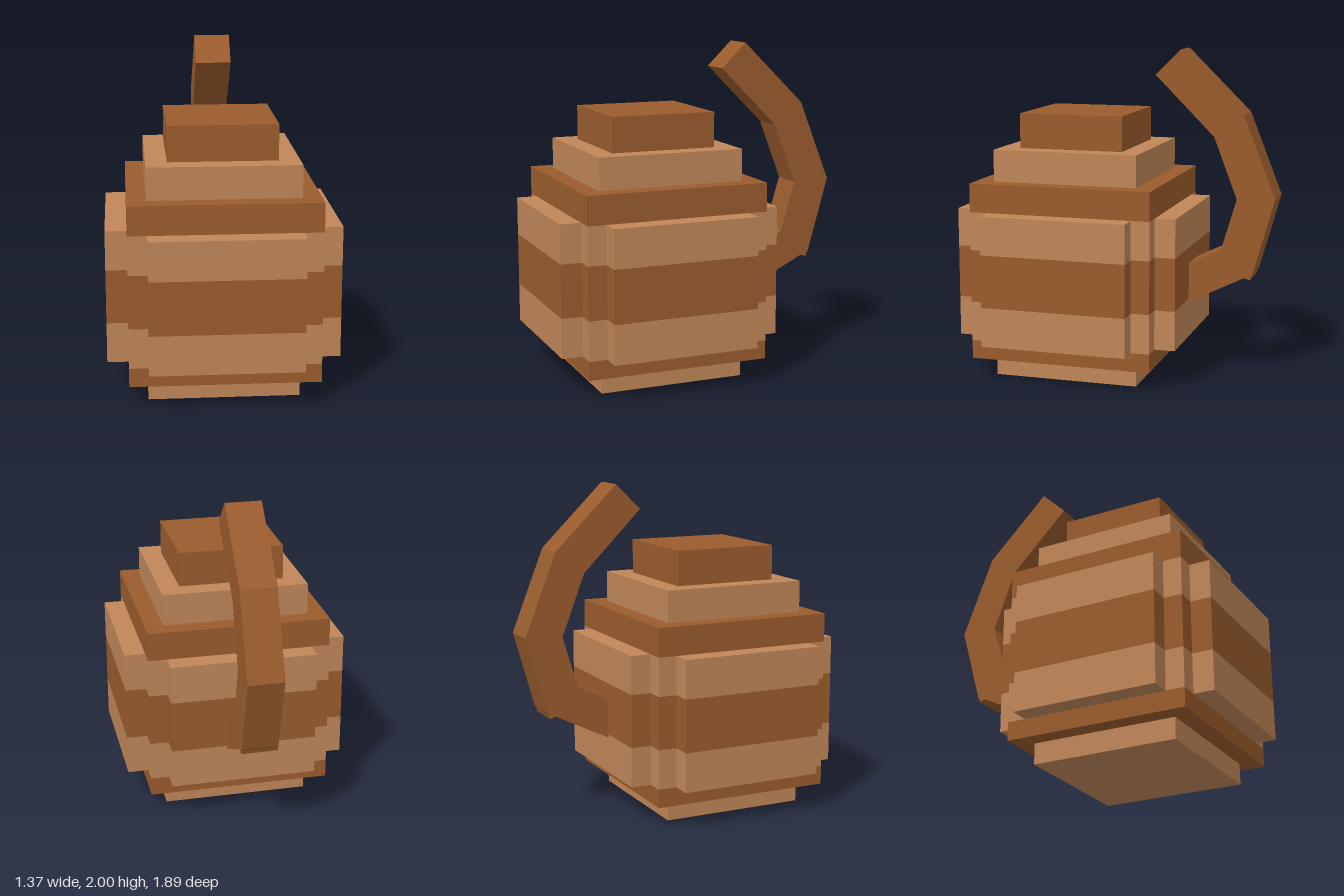
import * as THREE from 'three';

export function createModel() {
  const dark = new THREE.MeshStandardMaterial({ color: 0x9a5c2d });
  dark.name = 'dark brown';
  const light = new THREE.MeshStandardMaterial({ color: 0xc08658 });
  light.name = 'light brown';

  const model = new THREE.Group();
  const body = new THREE.Group();
  body.name = 'body';
  body.position.z = 0.264;
  model.add(body);

  // box given by half widths, bottom, top and centre
  function box(name, material, hx, hz, y0, y1, x = 0, z = 0) {
    const mesh = new THREE.Mesh(new THREE.BoxGeometry(hx * 2, y1 - y0, hz * 2), material);
    mesh.name = name;
    mesh.position.set(x, (y0 + y1) / 2, z);
    body.add(mesh);
  }

  // stepped tiers below and above the belly
  box('base', light, 0.447, 0.447, 0, 0.127);
  box('lowerCore', dark, 0.56, 0.56, 0.127, 0.24);
  box('upperCore', dark, 0.56, 0.56, 1.033, 1.207);
  box('shoulder', light, 0.447, 0.447, 1.207, 1.4);
  box('cap', dark, 0.322, 0.322, 1.4, 1.612);

  // striped belly: core corners plus a raised slab on each of the four sides
  const bands = [[light, 0.24, 0.48], [dark, 0.48, 0.8], [light, 0.8, 1.033]];
  for (const [material, y0, y1] of bands) {
    box('bellyCore', material, 0.56, 0.56, y0, y1);
    for (const side of [-1, 1]) {
      box('sideSlab', material, 0.0625, 0.447, y0, y1, side * 0.6225, 0);
      box('endSlab', material, 0.447, 0.0625, y0, y1, 0, side * 0.6225);
    }
  }

  // curved square tail: side outline as (z, y), extruded across x
  const outline = [
    [-0.38, 0.48], [-0.765, 0.632], [-0.8, 0.62], [-0.808, 0.645], [-0.815, 0.655],
    [-0.945, 1.12], [-0.75, 1.615], [-0.742, 1.625], [-0.36, 2],
    [-0.205, 1.847], [-0.57, 1.482], [-0.712, 1.11], [-0.62, 0.8], [-0.38, 0.72],
  ];
  outline[0] = [-0.38, 0.44];
  outline[13] = [-0.38, 0.682];
  const shape = new THREE.Shape(outline.map(([z, y]) => new THREE.Vector2(z, y)));
  const tailGeometry = new THREE.ExtrudeGeometry(shape, { depth: 0.218, bevelEnabled: false });
  tailGeometry.translate(0, 0, -0.109).rotateY(-Math.PI / 2);
  const tail = new THREE.Mesh(tailGeometry, dark);
  tail.name = 'tail';
  model.add(tail);

  return model;
}
